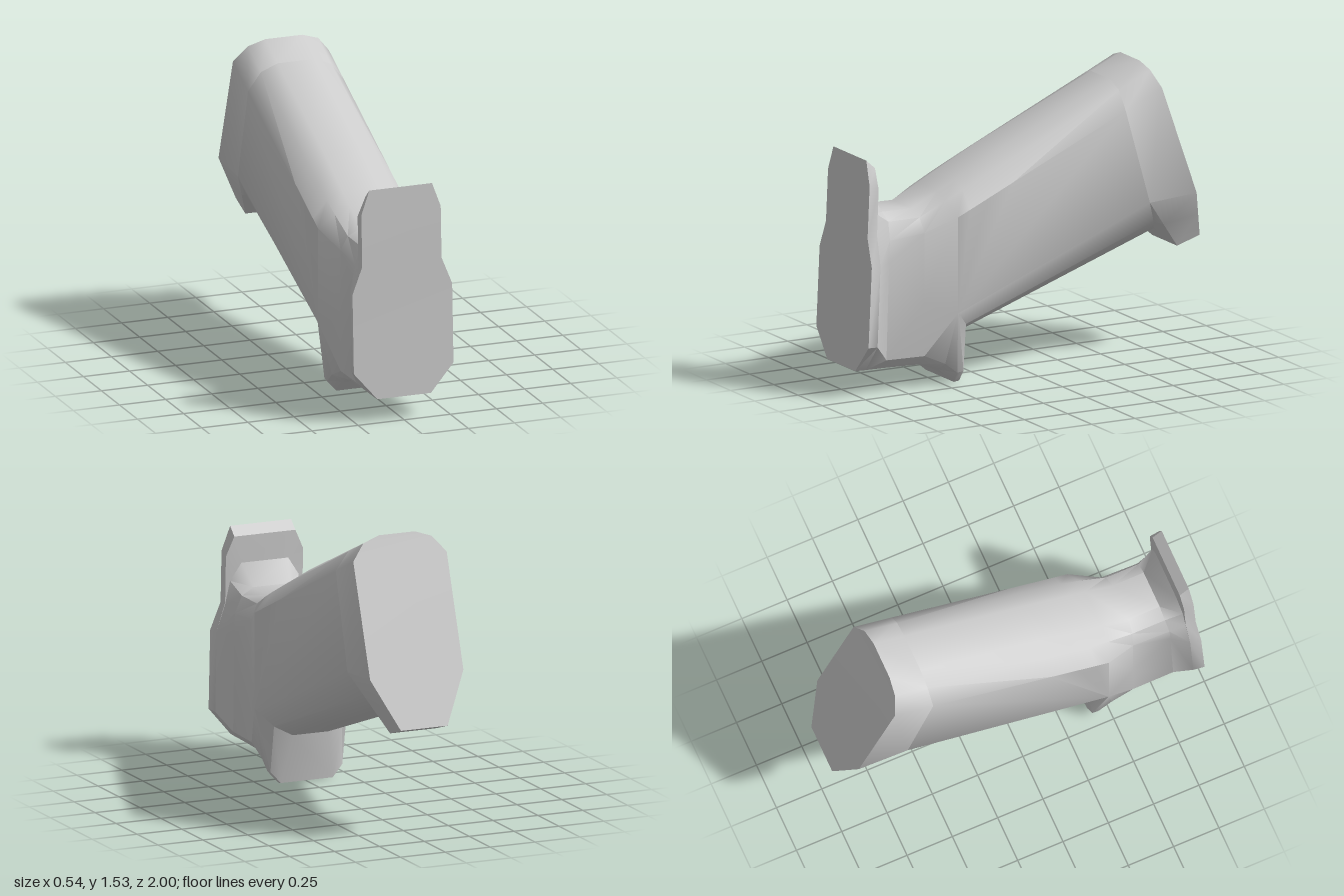
import * as THREE from 'three';
import { toCreasedNormals } from 'three/addons/utils/BufferGeometryUtils.js';

// Lofts mirrored half sections (top to bottom, +x side), listed front to back.
function loft(name, sections, { frontCap = false, backCap = false } = {}) {
  const rings = sections.map((half) => [
    ...half.map((p) => new THREE.Vector3(...p)),
    ...[...half].reverse().map(([x, y, z]) => new THREE.Vector3(-x, y, z)),
  ]);
  const n = rings[0].length, h = n / 2;
  const pos = [];
  const ab = new THREE.Vector3(), ac = new THREE.Vector3();
  const tri = (a, b, c) => {
    const area = ab.subVectors(b, a).cross(ac.subVectors(c, a)).length();
    if (area > 1e-6) pos.push(...a, ...b, ...c);
  };
  for (let i = 0; i < rings.length - 1; i++) {
    for (let j = 0; j < n; j++) {
      const k = (j + 1) % n;
      const a = rings[i][j], b = rings[i][k], c = rings[i + 1][k], d = rings[i + 1][j];
      // The diagonal flips on the mirrored half so both sides match
      if (j < h) { tri(a, b, d); tri(b, c, d); } else { tri(a, b, c); tri(a, c, d); }
    }
  }
  // Caps are strips running across from side to side
  const cap = (r, front) => {
    for (let j = 0; j < h - 1; j++) {
      const q = [r[j], r[n - 1 - j], r[n - 2 - j], r[j + 1]];
      if (!front) q.reverse();
      tri(q[0], q[1], q[2]);
      tri(q[0], q[2], q[3]);
    }
  };
  if (frontCap) cap(rings[0], true);
  if (backCap) cap(rings[rings.length - 1], false);

  const geo = new THREE.BufferGeometry();
  geo.setAttribute('position', new THREE.Float32BufferAttribute(pos, 3));
  const mesh = new THREE.Mesh(toCreasedNormals(geo, 0.7),
    new THREE.MeshStandardMaterial({ color: 0xcccccc }));
  mesh.name = name;
  return mesh;
}

export function createModel() {
  const group = new THREE.Group();
  group.name = 'angledGrip';

  // Each section: top edge, top bevel, side top, side bottom, lower bevel, bottom edge
  const plateFront = [[.17, 1.225, .95], [.215, 1.10, .956], [.215, .83, .968], [.27, .69, .974], [.27, .275, .993], [.145, .13, 1]];
  const plateBack = [[.17, 1.18, .90], [.215, 1.08, .904], [.215, .84, .913], [.26, .69, .918], [.26, .27, .935], [.145, .128, .94]];
  const filletTop = [[.13, 1.04, .90], [.19, .95, .908], [.215, .83, .913], ...plateBack.slice(3)];

  const neckFront = [[.1, .928, .82], [.165, .89, .82], [.2, .80, .83], [.2, .69, .835], [.2, .18, .85], [.145, .127, .85]];
  const neckBack = [[.1, .925, .65], [.165, .89, .64], [.2, .815, .63], [.2, .45, .63], [.2, .175, .63], [.145, .12, .63]];
  const hookFront = [[.1, .999, .5], [.18, .962, .5], [.26, .89, .47], [.26, .39, .47], [.2, .12, .51], [.145, .08, .52]];
  const hookTip = [[.1, 1.048, .4], [.185, 1.01, .4], [.26, .921, .4], [.26, .39, .47], [.2, .065, .44], [.145, .004, .43]];
  const hookBack = [[.1, 1.097, .3], [.187, 1.057, .3], [.26, .966, .3], [.26, .39, .47], [.2, .07, .405], [.145, .008, .40]];
  const handleFront = [[.1, 1.17, .15], [.19, 1.125, .15], [.26, 1.034, .15], [.26, .392, .465], [.19, .31, .385], [.1, .262, .355]];
  const handleBack = [[.1, 1.455, -.5], [.19, 1.419, -.5], [.26, 1.326, -.5], [.26, .83, -.64], [.19, .71, -.70], [.1, .65, -.75]];

  const lip = [...handleBack.slice(0, 3), [.26, .83, -.64], [.195, .69, -.755], [.13, .55, -.87]];
  const end = [[.1, 1.532, -.67], [.19, 1.502, -.68], [.26, 1.42, -.71], [.26, .85, -.91], [.195, .72, -.955], [.13, .592, -1]];

  group.add(
    loft('frontPlate', [plateFront, plateBack, filletTop], { frontCap: true }),
    loft('handle', [filletTop, neckFront, neckBack, hookFront, hookTip, hookBack, handleFront, handleBack]),
    loft('flaredEnd', [handleBack, lip, end], { backCap: true }),
  );
  return group;
}
